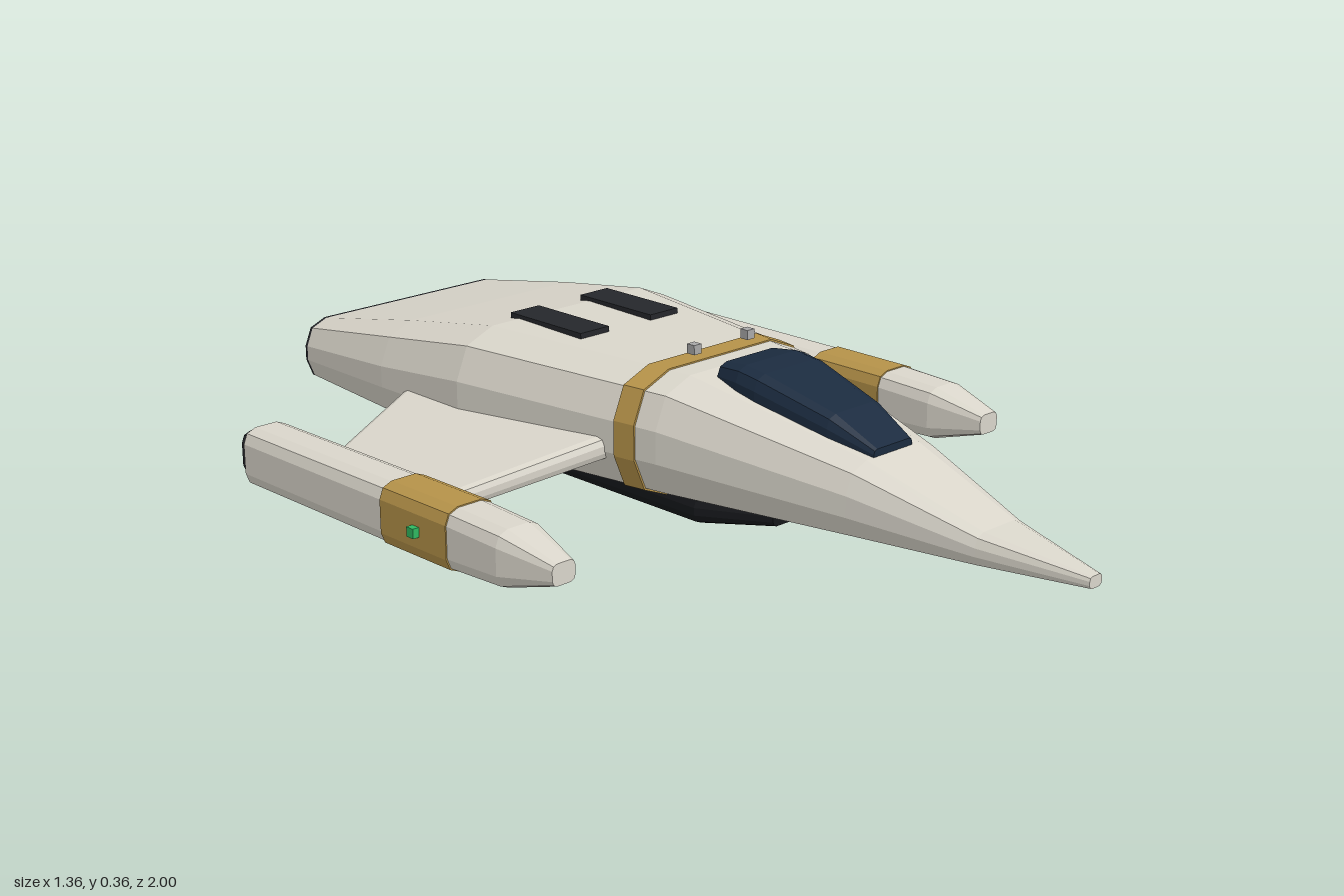
import * as THREE from 'three';

const paint = (color) => new THREE.MeshStandardMaterial({ color, flatShading: true });

// Rounded rectangle with two-step corners, counter-clockwise
function section(cx, cy, w, h, c) {
  const k = c * 0.293, pts = [];
  const quarter = [[w, h - c], [w - k, h - k], [w - c, h]];
  for (const [sx, sy] of [[1, 1], [-1, 1], [-1, -1], [1, -1]]) {
    const q = sx * sy > 0 ? quarter : [...quarter].reverse();
    for (const [x, y] of q) pts.push([cx + sx * x, cy + sy * y]);
  }
  return pts;
}

// Skin over stations [z, cx, cy, halfWidth, halfHeight, corner], with z ascending
function loft(stations) {
  const pos = [], idx = [], n = 12;
  for (const [z, ...s] of stations) for (const [x, y] of section(...s)) pos.push(x, y, z);
  const last = (stations.length - 1) * n;
  for (let i = 0; i < last; i += n) {
    for (let j = 0; j < n; j++) {
      const k = (j + 1) % n;
      idx.push(i + j, i + k, i + n + k, i + j, i + n + k, i + n + j);
    }
  }
  for (let j = 1; j < n - 1; j++) {
    idx.push(0, j + 1, j, last, last + j, last + j + 1);
  }
  const g = new THREE.BufferGeometry();
  g.setAttribute('position', new THREE.Float32BufferAttribute(pos, 3));
  g.setIndex(idx);
  const flat = g.toNonIndexed();
  flat.computeVertexNormals();
  return flat;
}

// Hull stations as [z, halfWidth, bottom, top, corner]
const HULL = [
  [-0.955, 0.287, 0.1, 0.242, 0.055],
  [-0.66, 0.307, 0.078, 0.295, 0.085],
  [-0.4, 0.31, 0.065, 0.335, 0.1],
  [0.11, 0.23, 0.068, 0.325, 0.095],
  [0.52, 0.132, 0.08, 0.237, 0.057],
  [0.78, 0.07, 0.09, 0.157, 0.025],
  [1, 0.018, 0.1, 0.124, 0.008],
];
const station = ([z, w, b, t, c], grow = 0) =>
  [z, 0, (b + t) / 2, w + grow, (t - b) / 2 + grow, c];

function hullAt(z) {
  const i = HULL.findIndex((s) => s[0] >= z);
  const a = HULL[i - 1], b = HULL[i], f = (z - a[0]) / (b[0] - a[0]);
  return a.map((v, k) => v + (b[k] - v) * f);
}

export function createModel() {
  const root = new THREE.Group();
  root.name = 'starship';
  const cream = paint(0xd9d5ca), gold = paint(0xb59249), dark = paint(0x25272b);
  const black = paint(0x15171a), glass = paint(0x1b2b3f), glow = paint(0x6ea3cc);
  const grey = paint(0xa8a8a8), red = paint(0xd03030), green = paint(0x30b860);

  const add = (name, geometry, material, parent = root) => {
    const mesh = new THREE.Mesh(geometry, material);
    mesh.name = name;
    parent.add(mesh);
    return mesh;
  };
  const box = (name, material, w, h, d, x, y, z, parent) =>
    add(name, new THREE.BoxGeometry(w, h, d), material, parent).position.set(x, y, z);

  // Body
  add('hull', loft(HULL.map((s) => station(s))), cream);
  add('hullStripe', loft([0.01, 0.06].map((z) => station(hullAt(z), 0.003))), gold);
  const rear = station(HULL[0]);
  add('rearPlate', loft([[-0.962, ...rear.slice(1)], rear]), dark);

  // Canopy, sunk into the hull
  add('canopy', loft([
    [0.14, 0, 0.315, 0.09, 0.03, 0.025],
    [0.2, 0, 0.31, 0.1, 0.042, 0.03],
    [0.25, 0, 0.303, 0.1, 0.042, 0.03],
    [0.42, 0, 0.26, 0.078, 0.04, 0.025],
    [0.52, 0, 0.235, 0.055, 0.017, 0.01],
  ]), glass);

  // Belly pad
  add('bellyPad', loft([
    [-0.68, 0, 0.055, 0.145, 0.025, 0.015],
    [-0.64, 0, 0.053, 0.155, 0.028, 0.02],
    [0.14, 0, 0.053, 0.155, 0.028, 0.02],
    [0.29, 0, 0.058, 0.085, 0.016, 0.01],
  ]), black);

  for (const s of [1, -1]) {
    const side = new THREE.Group();
    side.name = s > 0 ? 'leftSide' : 'rightSide';
    root.add(side);

    // Wing, lofted outward then turned sideways
    add('wing', loft([
      [0.2, s * 0.3075, 0.179, 0.3125, 0.026, 0.018],
      [0.57, s * 0.325, 0.088, 0.175, 0.021, 0.015],
    ]).rotateY(s * Math.PI / 2), cream, side);

    // Wingtip pod
    const X = s * 0.607, Y = 0.088;
    add('pod', loft([
      [-0.66, X, Y, 0.056, 0.062, 0.03],
      [0.0, X, Y, 0.058, 0.063, 0.03],
      [0.14, X, Y, 0.056, 0.058, 0.03],
      [0.265, X, Y, 0.028, 0.022, 0.012],
    ]), cream, side);
    add('podStripe', loft([
      [-0.2, X, Y, 0.0605, 0.0655, 0.031],
      [0.0, X, Y, 0.0605, 0.0655, 0.031],
    ]), gold, side);
    add('podNozzle', loft([
      [-0.69, X, Y, 0.041, 0.046, 0.022],
      [-0.655, X, Y, 0.046, 0.051, 0.025],
    ]), dark, side);
    add('podGlow', loft([
      [-0.693, X, Y, 0.028, 0.033, 0.016],
      [-0.68, X, Y, 0.028, 0.033, 0.016],
    ]), glow, side);
    box('navigationLight', s > 0 ? red : green, 0.02, 0.02, 0.02, s * 0.672, Y, -0.09, side);

    // Main engine
    const E = s * 0.155;
    add('engineNozzle', loft([
      [-0.996, E, 0.165, 0.06, 0.05, 0.025],
      [-0.955, E, 0.165, 0.066, 0.055, 0.028],
    ]), dark, side);
    add('engineGlow', loft([
      [-1, E, 0.165, 0.043, 0.036, 0.02],
      [-0.98, E, 0.165, 0.043, 0.036, 0.02],
    ]), glow, side);

    // Roof vent and small sensors
    box('roofVent', dark, 0.078, 0.03, 0.22, s * 0.098, 0.328, -0.318, side);
    box('roofSensor', grey, 0.02, 0.02, 0.02, s * 0.075, 0.356, 0.06, side);
    box('wingSensor', grey, 0.022, 0.022, 0.022, s * 0.545, 0.013, -0.165, side);
  }
  return root;
}
